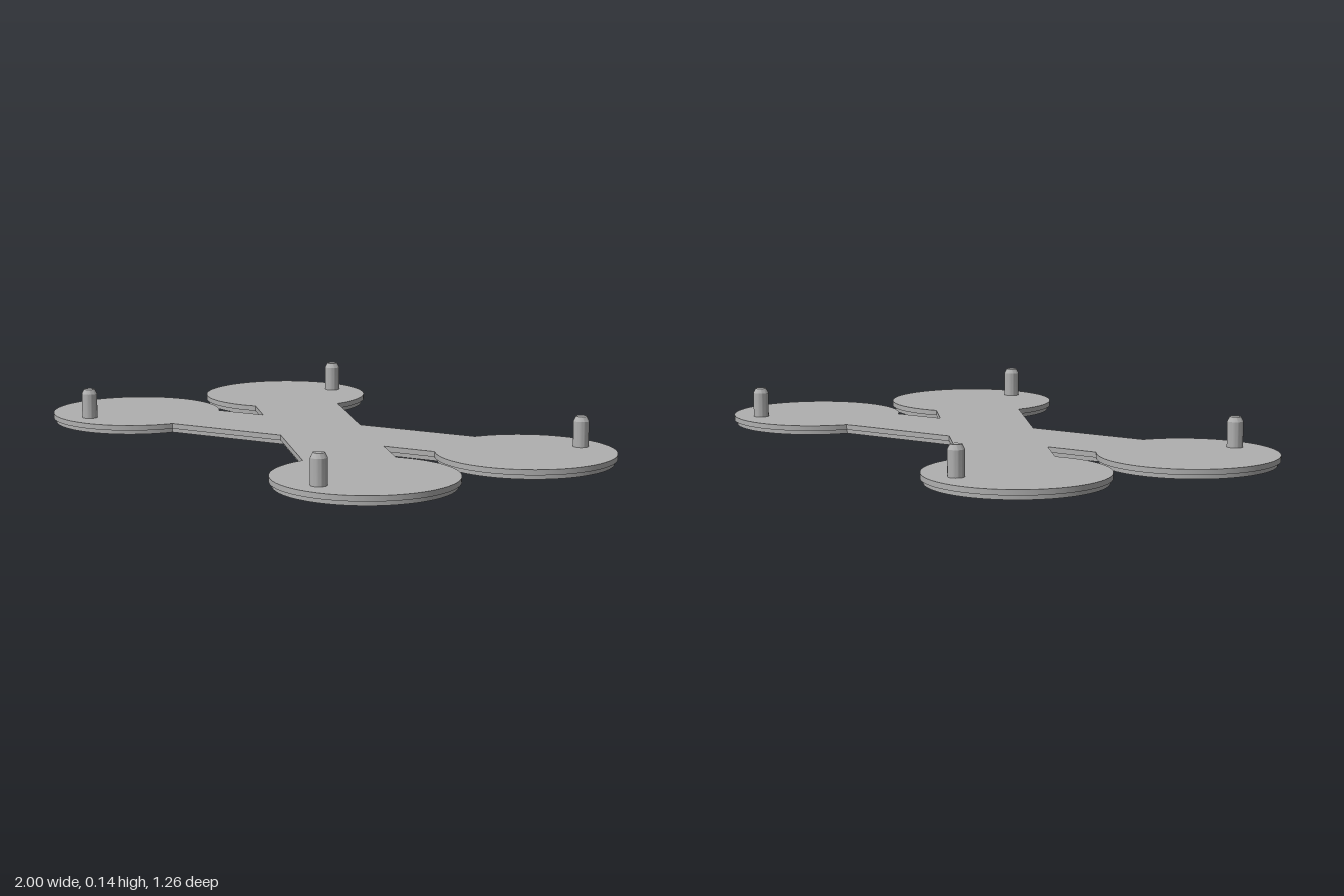
import * as THREE from 'three';
import { toCreasedNormals } from 'three/addons/utils/BufferGeometryUtils.js';

const PAD = { x: 0.7, z: 0.328, r: 0.3 };
const ARM_HALF_WIDTH = 0.1535;

// Cross of two arms ending in round pads, shrunk inwards by `inset`
function plateShape(inset) {
  const h = ARM_HALF_WIDTH - inset;
  const r = PAD.r - inset;
  const tilt = Math.atan2(PAD.z, PAD.x);
  const half = Math.asin(h / r);
  const sideNotch = h / Math.sin(tilt);
  const endNotch = h / Math.cos(tilt);
  const notches = [[sideNotch, 0], [0, endNotch], [-sideNotch, 0], [0, -endNotch]];
  const angles = [tilt, Math.PI - tilt, Math.PI + tilt, 2 * Math.PI - tilt];

  const shape = new THREE.Shape();
  shape.moveTo(...notches[0]);
  angles.forEach((a, i) => {
    const cx = Math.sign(Math.cos(a)) * PAD.x;
    const cy = Math.sign(Math.sin(a)) * PAD.z;
    shape.absarc(cx, cy, r, a - Math.PI + half, a + Math.PI - half, false);
    shape.lineTo(...notches[(i + 1) % 4]);
  });
  return shape;
}

function plate(name, inset, bottom, top, material) {
  const extruded = new THREE.ExtrudeGeometry(plateShape(inset), {
    depth: top - bottom, bevelEnabled: false, curveSegments: 72,
  });
  extruded.rotateX(-Math.PI / 2);
  extruded.translate(0, bottom, 0);
  const mesh = new THREE.Mesh(toCreasedNormals(extruded, 0.4), material);
  mesh.name = name;
  return mesh;
}

export function createModel() {
  const group = new THREE.Group();
  group.name = 'crossPlate';
  const grey = new THREE.MeshStandardMaterial({ color: 0xb0b0b0 });
  grey.name = 'grey';

  // Stepped plate: a slightly smaller layer under the main one
  group.add(plate('lowerPlate', 0.01, 0, 0.015, grey));
  group.add(plate('upperPlate', 0, 0.015, 0.033, grey));

  // Upright pins with chamfered tips, one on each pad
  const profile = [[0.027, 0.03], [0.027, 0.119], [0.019, 0.135], [0, 0.135]]
    .map(([x, y]) => new THREE.Vector2(x, y));
  const pinGeometry = toCreasedNormals(new THREE.LatheGeometry(profile, 32), 0.4);
  for (const x of [-0.68, 0.74]) {
    for (const z of [-0.533, 0.533]) {
      const pin = new THREE.Mesh(pinGeometry, grey);
      pin.name = 'pin';
      pin.position.set(x, 0, z);
      group.add(pin);
    }
  }
  return group;
}
